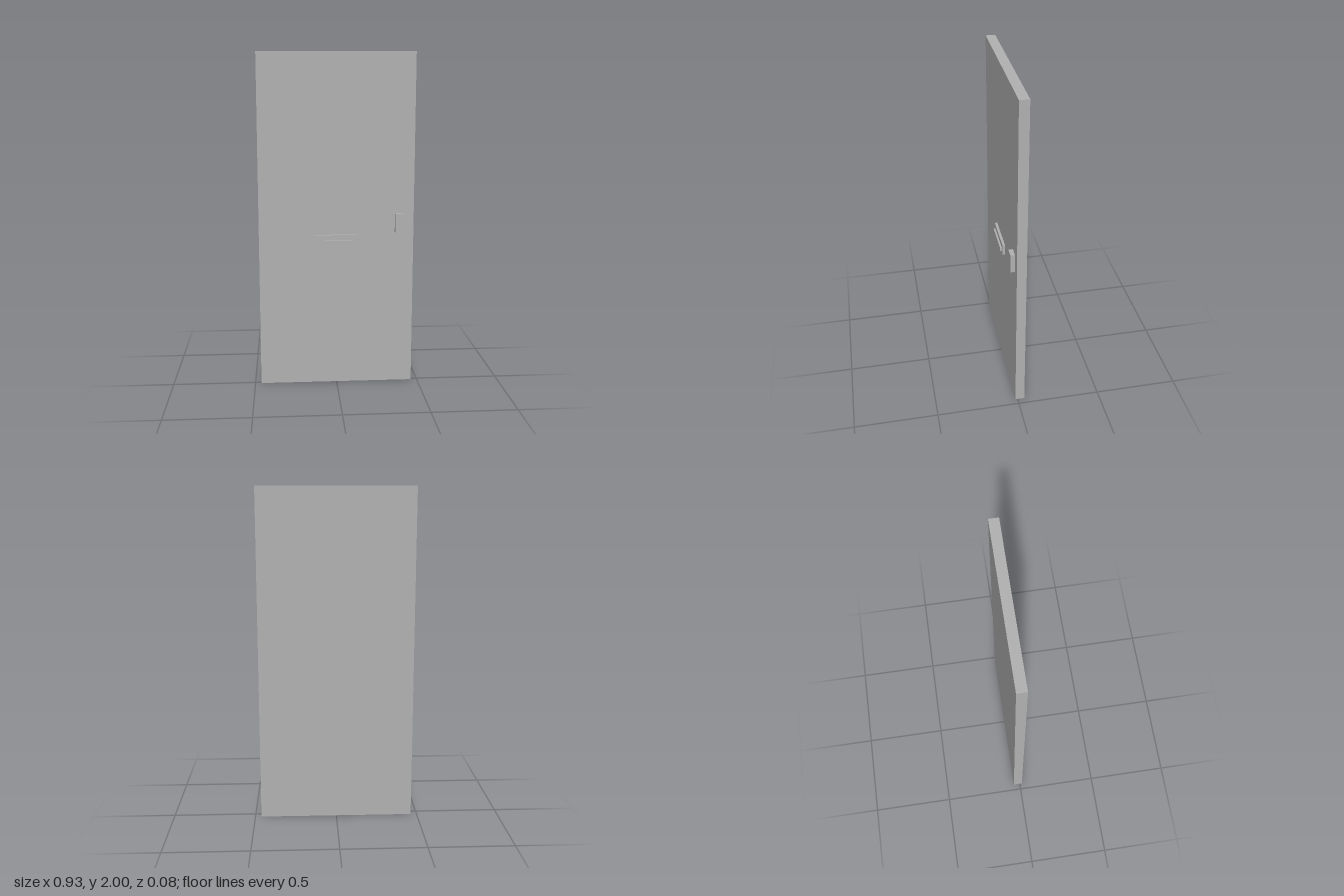
import * as THREE from 'three';

const grey = new THREE.MeshStandardMaterial({ color: 0xb2b2b2 });
grey.name = 'grey';

// Box given by its lower and upper corners
function block(name, [x0, y0, z0], [x1, y1, z1]) {
  const geometry = new THREE.BoxGeometry(x1 - x0, y1 - y0, z1 - z0);
  const mesh = new THREE.Mesh(geometry, grey);
  mesh.name = name;
  mesh.position.set((x0 + x1) / 2, (y0 + y1) / 2, (z0 + z1) / 2);
  return mesh;
}

export function createModel() {
  const door = new THREE.Group();
  door.name = 'door';

  // Slab
  door.add(block('doorPanel', [-0.463, 0, -0.042], [0.463, 2, 0.014]));

  // Letterbox: backing plate with a raised flap
  const letterbox = new THREE.Group();
  letterbox.name = 'letterbox';
  letterbox.add(
    block('letterboxPlate', [-0.126, 0.863, 0.014], [0.125, 0.928, 0.029]),
    block('letterboxFlap', [-0.109, 0.877, 0.029], [0.107, 0.898, 0.04]),
  );
  door.add(letterbox);

  // Lock plate beside the opening edge
  door.add(block('lockPlate', [0.35, 0.94, 0.014], [0.409, 1.055, 0.04]));

  return door;
}
